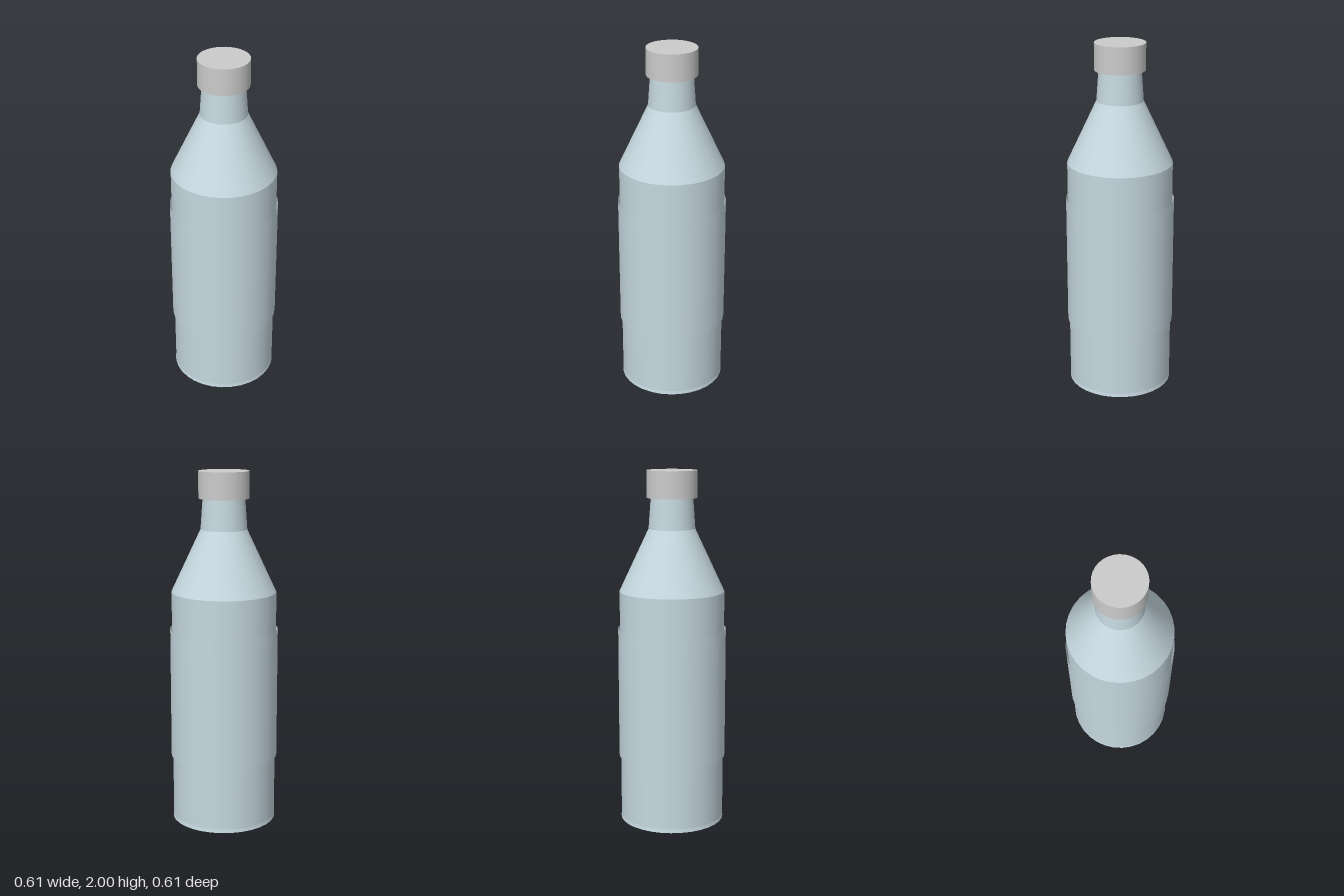
import * as THREE from 'three';

const SIDES = 32;

export function createModel() {
  const bottle = new THREE.Group();
  bottle.name = 'bottle';

  const glass = new THREE.MeshStandardMaterial({ color: 0xc6d8e0 });
  const paper = new THREE.MeshStandardMaterial({ color: 0xc6d8e0, side: THREE.DoubleSide });
  const metal = new THREE.MeshStandardMaterial({ color: 0xcccccc });

  // Round section between two heights; separate sections keep the rims crisp
  function section(name, y0, r0, y1, r1, material, open = true) {
    const geometry = new THREE.CylinderGeometry(r1, r0, y1 - y0, SIDES, 1, open);
    const mesh = new THREE.Mesh(geometry, material);
    mesh.name = name;
    mesh.position.y = (y0 + y1) / 2;
    bottle.add(mesh);
  }

  // Glass: slightly flared foot, straight body, conical shoulder, tapered neck
  section('foot', 0, 0.297, 0.02, 0.294, glass, false);
  section('body', 0.02, 0.295, 1.33, 0.295, glass);
  section('shoulder', 1.33, 0.295, 1.68, 0.13, glass);
  section('neck', 1.68, 0.13, 1.86, 0.117, glass);

  // Thin sleeve around the body
  section('label', 0.375, 0.305, 1.12, 0.305, paper);

  // Solid cap
  section('cap', 1.85, 0.141, 2, 0.141, metal, false);

  return bottle;
}
